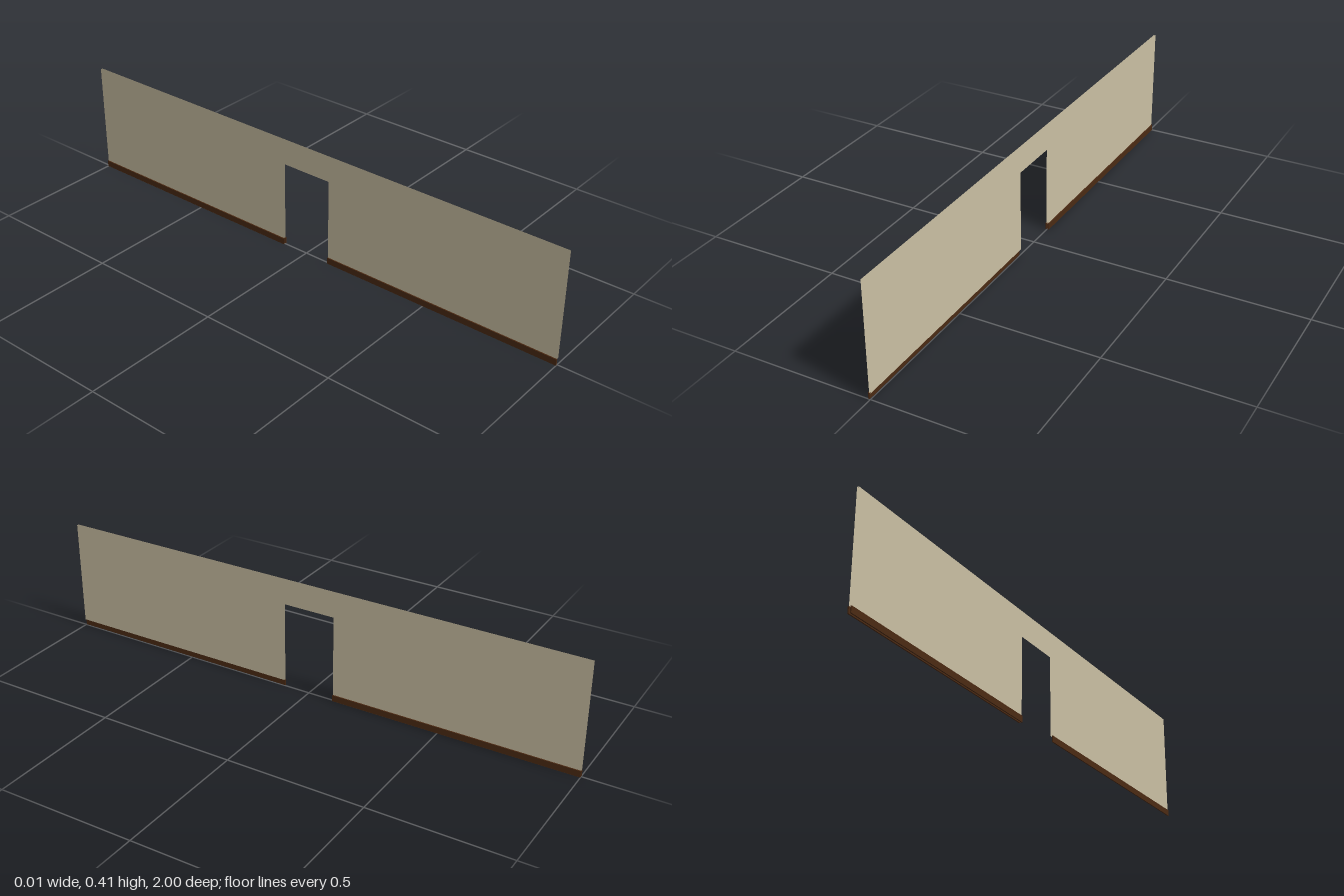
import * as THREE from 'three';

const HALF = 1, TOP = 0.414, DOOR = 0.098, DOOR_TOP = 0.321;
const BOARD_H = 0.023, SHEET_X = 0.0026, BOARD_T = 0.0042;

export function createModel() {
  const group = new THREE.Group();
  const plaster = new THREE.MeshStandardMaterial({ color: 0xcabfa3, side: THREE.DoubleSide });
  plaster.name = 'beige plaster';
  const wood = new THREE.MeshStandardMaterial({ color: 0x4b2a13 });
  wood.name = 'dark brown wood';

  // Wall outline with the doorway cut up from the bottom
  const outline = new THREE.Shape([
    [-HALF, BOARD_H], [-DOOR, BOARD_H], [-DOOR, DOOR_TOP], [DOOR, DOOR_TOP],
    [DOOR, BOARD_H], [HALF, BOARD_H], [HALF, TOP], [-HALF, TOP],
  ].map(([z, y]) => new THREE.Vector2(z, y)));

  // Two open wall sheets, one facing each way
  for (const side of [1, -1]) {
    const geometry = new THREE.ShapeGeometry(outline);
    geometry.rotateY(side * Math.PI / 2);
    const sheet = new THREE.Mesh(geometry, plaster);
    sheet.name = side > 0 ? 'leftWallSheet' : 'rightWallSheet';
    sheet.position.x = side * SHEET_X;
    group.add(sheet);
  }

  // Baseboards: both stretches on the -x side, only the rear one on the +x side
  const length = HALF - DOOR;
  for (const [side, end, name] of [
    [-1, 1, 'rightFrontBaseboard'],
    [-1, -1, 'rightRearBaseboard'],
    [1, -1, 'leftRearBaseboard'],
  ]) {
    const board = new THREE.Mesh(new THREE.BoxGeometry(BOARD_T, BOARD_H, length), wood);
    board.name = name;
    board.position.set(side * (SHEET_X + BOARD_T / 2), BOARD_H / 2, end * (DOOR + length / 2));
    group.add(board);
  }
  return group;
}
